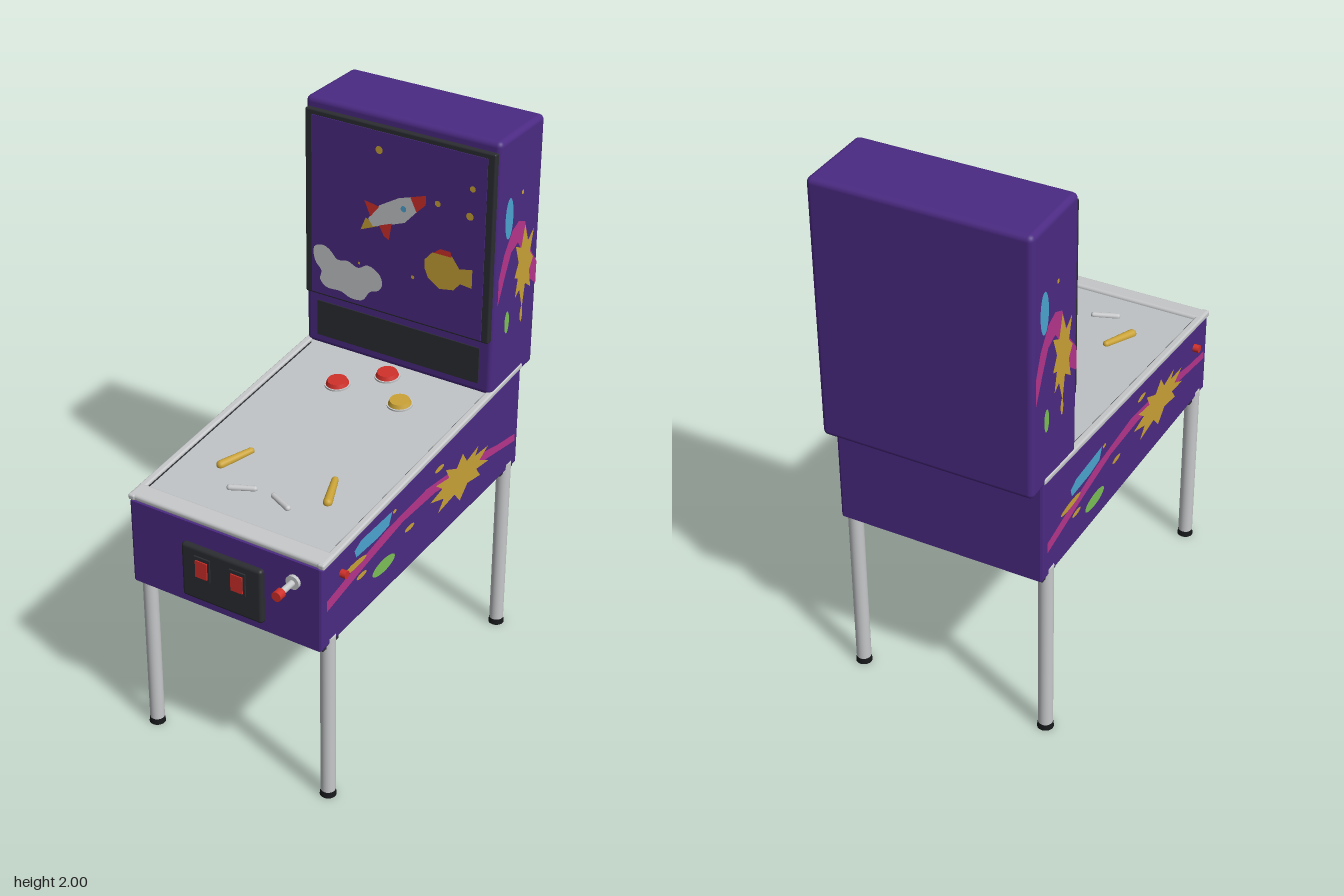
import * as THREE from 'three';
import { RoundedBoxGeometry } from 'three/addons/geometries/RoundedBoxGeometry.js';

const mat = (name, color) => {
  const m = new THREE.MeshStandardMaterial({ color });
  m.name = name;
  return m;
};

export function createModel() {
  const purple = mat('purple', 0x4b2a83), pink = mat('pink', 0xb5358b), gold = mat('gold', 0xc9a236);
  const blue = mat('blue', 0x4ba5d0), green = mat('green', 0x7cc058), red = mat('red', 0xd0302a);
  const dark = mat('charcoal', 0x2b2d31), chrome = mat('chrome', 0xc6c8ca);
  const field = mat('playfield grey', 0xc0c4c6), rubber = mat('rubber', 0x17181a);

  const model = new THREE.Group();
  model.name = 'pinballTable';

  const add = (parent, name, geo, material, x = 0, y = 0, z = 0) => {
    const mesh = new THREE.Mesh(geo, material);
    mesh.name = name;
    mesh.position.set(x, y, z);
    parent.add(mesh);
    return mesh;
  };
  const group = (parent, name) => {
    const g = new THREE.Group();
    g.name = name;
    parent.add(g);
    return g;
  };
  const box = (w, h, d) => new THREE.BoxGeometry(w, h, d);
  const rbox = (w, h, d, r) => new RoundedBoxGeometry(w, h, d, 3, r);
  const cyl = (r1, r2, h, n = 20) => new THREE.CylinderGeometry(r1, r2, h, n);

  // Flat painted shapes, given in hundredths of a unit
  const poly = (...p) => new THREE.ShapeGeometry(new THREE.Shape(p.map(([x, y]) => new THREE.Vector2(x / 100, y / 100))));
  const blob = (...p) => {
    const curve = new THREE.CatmullRomCurve3(p.map(([x, y]) => new THREE.Vector3(x / 100, y / 100, 0)), true);
    return new THREE.ShapeGeometry(new THREE.Shape(curve.getPoints(60).map(v => new THREE.Vector2(v.x, v.y))));
  };
  const oval = (x, y, rx, ry) => new THREE.ShapeGeometry(
    new THREE.Shape().absellipse(x / 100, y / 100, rx / 100, ry / 100, 0, Math.PI * 2), 12);

  // Cabinet: sloping side profile extruded across the width
  const profile = new THREE.Shape([[-0.62, 0.647], [0.645, 0.69], [0.645, 1.062], [-0.62, 0.944]]
    .map(([a, y]) => new THREE.Vector2(a, y)));
  const cabinetGeo = new THREE.ExtrudeGeometry(profile, {
    depth: 0.73, bevelEnabled: true, bevelSize: 0.01, bevelThickness: 0.01, bevelSegments: 2,
  });
  cabinetGeo.translate(0, 0, -0.365).rotateY(Math.PI / 2);
  add(model, 'cabinet', cabinetGeo, purple);

  // Sloping table top
  const slope = 0.0934;
  const deck = group(model, 'tableTop');
  deck.position.y = 1.021;
  deck.rotation.x = Math.atan(slope);
  add(deck, 'playfield', box(0.73, 0.02, 1.06), field, 0, -0.011, 0.08);
  for (const s of [-1, 1]) {
    add(deck, 'sideRail', rbox(0.026, 0.022, 1.285, 0.007), chrome, s * 0.369, 0, -0.012);
    add(deck, 'railSeam', box(0.004, 0.004, 0.98), dark, s * 0.354, -0.001, 0.065);
  }
  add(deck, 'lockBar', rbox(0.764, 0.026, 0.07, 0.011), chrome, 0, -0.001, 0.592);

  // Bumpers
  for (const [x, z, m] of [[0, -0.37, red], [-0.127, -0.245, red], [0.127, -0.245, gold]]) {
    const bumper = group(deck, 'bumper');
    bumper.position.set(x, 0, z);
    add(bumper, 'bumperBase', cyl(0.046, 0.046, 0.01, 28), chrome);
    add(bumper, 'bumperCap', cyl(0.035, 0.041, 0.014, 28), m, 0, 0.012, 0);
  }

  // Tapered or straight bars lying on the playfield
  const bar = (name, m, [x1, z1, r1], [x2, z2, r2]) => {
    const d = new THREE.Vector3(x2 - x1, 0, z2 - z1), len = d.length();
    const g = group(deck, name);
    g.position.set((x1 + x2) / 2, 0.003, (z1 + z2) / 2);
    g.quaternion.setFromUnitVectors(new THREE.Vector3(0, 1, 0), d.normalize());
    add(g, 'bar', cyl(r2, r1, len, 16), m);
    add(g, 'startTip', new THREE.SphereGeometry(r1, 16, 10), m, 0, -len / 2, 0);
    add(g, 'endTip', new THREE.SphereGeometry(r2, 16, 10), m, 0, len / 2, 0);
  };
  for (const s of [-1, 1]) {
    bar('slingshot', gold, [s * 0.167, 0.23, 0.012], [s * 0.211, 0.342, 0.016]);
    bar('flipper', chrome, [s * 0.038, 0.397, 0.01], [s * 0.114, 0.43, 0.011]);
  }

  // Legs with feet and mounting plates
  for (const s of [-1, 1]) {
    for (const [z, top] of [[0.565, 0.662], [-0.595, 0.705]]) {
      const leg = group(model, 'leg');
      leg.position.set(s * 0.357, 0, z);
      add(leg, 'post', cyl(0.026, 0.026, top - 0.015), chrome, 0, (top + 0.015) / 2, 0);
      add(leg, 'foot', cyl(0.026, 0.029, 0.022), rubber, 0, 0.011, 0);
      add(leg, 'mountingPlate', box(0.03, 0.02, 0.09), dark, -s * 0.005, top - 0.028, 0);
    }
  }

  // Coin door
  const door = group(model, 'coinDoor');
  add(door, 'doorPanel', rbox(0.316, 0.207, 0.03, 0.012), dark, 0, 0.774, 0.634);
  for (const x of [-0.072, 0.067]) {
    add(door, 'coinSlotFrame', box(0.062, 0.085, 0.008), dark, x, 0.805, 0.651);
    add(door, 'coinButton', box(0.046, 0.064, 0.012), red, x, 0.803, 0.653);
  }

  // Plunger
  const plunger = group(model, 'plunger');
  plunger.position.set(0.272, 0.877, 0);
  for (const [name, r, z0, z1, m] of [['plungerPlate', 0.025, 0.62, 0.642, chrome],
    ['plungerRod', 0.011, 0.64, 0.705, chrome], ['plungerKnob', 0.0175, 0.703, 0.732, red]]) {
    add(plunger, name, cyl(r, r, z1 - z0, 24).rotateX(Math.PI / 2), m, 0, 0, (z0 + z1) / 2);
  }

  // Side buttons
  for (const s of [-1, 1]) {
    add(model, 'sideButton', cyl(0.014, 0.014, 0.025).rotateZ(Math.PI / 2), red, s * 0.384, 0.88, 0.515);
  }

  // Back box with display frame and speaker panel
  add(model, 'backBox', rbox(0.756, 0.94, 0.3, 0.02), purple, 0, 1.53, -0.58);
  add(model, 'displayFrame', rbox(0.736, 0.695, 0.03, 0.006), dark, 0, 1.617, -0.427);
  add(model, 'displayGlass', box(0.682, 0.668, 0.004), purple, 0, 1.612, -0.4115);
  add(model, 'speakerPanel', box(0.656, 0.137, 0.008), dark, 0, 1.168, -0.43);

  // Picture on the display: cloud, rocket, ringed planet and stars
  const art = group(model, 'displayArt');
  art.position.z = -0.408;
  add(art, 'cloud', blob([-33, 145.5], [-29, 147], [-26, 145.5], [-23.5, 143], [-19, 143.5], [-15, 142], [-11, 144],
    [-6.5, 142], [-5, 138.5], [-6.5, 135.5], [-10, 134], [-13, 130], [-18, 129.5], [-22, 131], [-28, 131],
    [-30.5, 133.5], [-30, 137], [-32.5, 140]), chrome);
  add(art, 'rocketFlame', poly([-14, 157], [-12, 162], [-7, 160]), gold);
  add(art, 'rocketBody', poly([-11, 162], [-6.5, 168], [1, 172.5], [5.5, 174], [8, 169], [3.5, 164], [-3, 161.5],
    [-9, 159.5]), chrome, 0, 0, 0.001);
  add(art, 'rocketNose', poly([5.5, 174], [11.5, 176], [11.5, 172.5], [8, 169]), red, 0, 0, 0.001);
  add(art, 'rocketFin', poly([-12.5, 168.5], [-6.5, 167.5], [-10, 163]), red, 0, 0, 0.002);
  add(art, 'rocketFin', poly([-6.5, 160.5], [-1.5, 162.5], [-2.5, 156], [-4.5, 157]), red, 0, 0, 0.002);
  add(art, 'rocketWindow', oval(3, 169, 1.1, 1.1), blue, 0, 0, 0.002);
  add(art, 'planet', poly([11.5, 152.5], [14.5, 156], [22, 156.5], [25, 152.5], [30, 153.5], [30, 146.5], [25.5, 147],
    [23, 144], [17.5, 143], [13, 146], [11.5, 149.5]), gold);
  add(art, 'planetCap', poly([15, 156], [17.5, 158], [21.5, 158], [22, 156]), red, 0, 0, 0.001);
  for (const [x, y, r] of [[-7, 188, 1.4], [29, 182.7, 1.1], [28.3, 172.7, 1.4], [16, 174.2, 1.1], [7, 144.5, 0.7],
    [-14.5, 144, 0.5]]) {
    add(art, 'star', oval(x, y, r, r), gold);
  }

  // Side paint: built for the left side, then turned half round for the right
  const bothSides = (name, centreZ, x, layers) => {
    for (const s of [1, -1]) {
      const g = group(model, name);
      g.rotation.y = s * Math.PI / 2;
      g.position.set(s * x, 0, s > 0 ? 0 : 2 * centreZ);
      layers.forEach(([part, geo, m], i) => add(g, part, geo, m, 0, 0, 0.0004 * i));
    }
  };
  const spots = list => list.map(p => ['splash', oval(...p), gold]);
  bothSides('cabinetPaint', -0.012, 0.3762, [
    ['stripe', poly([-60, 82], [-46, 85], [-25, 89], [1, 91], [28, 88], [50, 83], [63, 81], [63, 78], [44, 81],
      [28, 83], [7, 86.5], [-14, 86.5], [-35, 83], [-60, 78]), pink],
    ['bluePatch', poly([-44, 92], [-40, 94], [-21, 94.5], [-23, 90], [-30, 89], [-43, 89]), blue],
    ['greenPatch', oval(-26, 76, 7, 2.6), green],
    ['burst', poly([3.5, 84], [11.5, 85.5], [7, 89], [16, 87.5], [13.5, 92], [21, 88.5], [25, 92.5], [28, 88], [36, 90],
      [34, 87], [43, 86.5], [37, 83.5], [44, 80], [35, 81], [38, 77], [29, 78.5], [24, 74], [20, 78.5], [9, 77],
      [12.5, 81]), gold],
    ...spots([[-44, 86.5, 7, 1.3], [-10, 82, 3, 1], [9, 95, 3, 1], [-40, 80.5, 3, 1], [-20, 94, 1.2, 0.7]]),
  ]);
  bothSides('backBoxPaint', -0.58, 0.3785, [
    ['stripe', poly([45, 150], [48, 158], [53, 165], [57.5, 167], [62, 165], [66.5, 153], [72, 146], [72, 137.5],
      [66.5, 142], [62, 153], [57.5, 159], [53, 157], [49.5, 150], [45, 140]), pink],
    ['bluePatch', oval(50.5, 170.5, 2.7, 7.5), blue],
    ['greenPatch', oval(52, 131, 1.6, 4.2), green],
    ['burst', poly([62, 164], [64.5, 157], [68.5, 160], [66.5, 152], [69, 149], [66.5, 145], [68, 138], [64, 141],
      [62.5, 132], [60, 140], [57, 138], [58.5, 145], [56, 146], [58.5, 151], [56, 158], [60, 156]), gold],
    ...spots([[59, 177, 0.8, 0.8], [62, 130, 0.9, 3]]),
  ]);

  return model;
}
